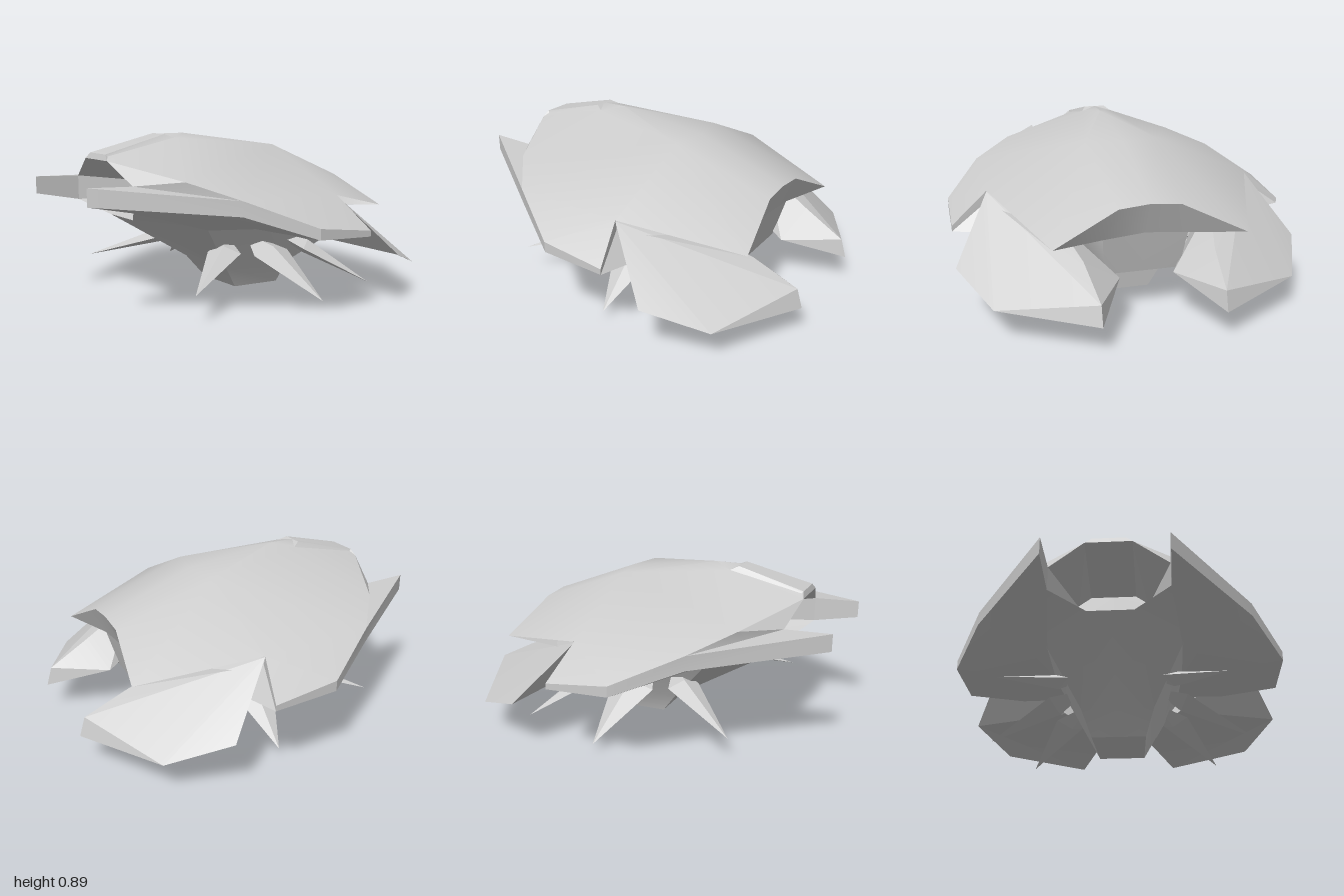
import * as THREE from 'three';
import { toCreasedNormals } from 'three/addons/utils/BufferGeometryUtils.js';

const material = new THREE.MeshStandardMaterial({ color: 0xcccccc, side: THREE.DoubleSide });

// Builds faces from named corners on the +x half, turns them away from a centre
// point and mirrors them to -x. Each face is a string of corner names.
function mirroredMesh(name, points, faces, centre, crease = 0.45, inward = false) {
  const positions = [];
  const mid = new THREE.Vector3(...centre);
  for (const face of faces) {
    const corners = face.split(' ').map((key) => new THREE.Vector3(...points[key]));
    for (let i = 1; i < corners.length - 1; i++) {
      const tri = [corners[0], corners[i], corners[i + 1]];
      const normal = tri[1].clone().sub(tri[0]).cross(tri[2].clone().sub(tri[0]));
      const out = tri[0].clone().add(tri[1]).add(tri[2]).divideScalar(3).sub(mid);
      if ((normal.dot(out) < 0) !== inward) tri.reverse();
      tri.forEach((v) => positions.push(v.x, v.y, v.z));
      [...tri].reverse().forEach((v) => positions.push(-v.x, v.y, v.z));
    }
  }
  const flat = new THREE.BufferGeometry();
  flat.setAttribute('position', new THREE.Float32BufferAttribute(positions, 3));
  const mesh = new THREE.Mesh(toCreasedNormals(flat, crease), material);
  mesh.name = name;
  return mesh;
}

// Corners shared by the shell, its rim and the hull
const shell = {
  crown: [0, 0.89, 0.27], hood: [0.085, 0.87, 0.38], nose: [0.09, 0.79, 0.77],
  lip: [0.12, 0.77, 0.79], lipMid: [0, 0.77, 0.79],
  brow: [0.52, 0.69, 0.59], cheek: [0.73, 0.61, 0.41],
  side: [0.92, 0.475, 0.1], sideBack: [0.92, 0.43, -0.24], notch: [0.73, 0.59, -0.19],
  tail: [0.49, 0.46, -0.78], rear: [0.16, 0.615, -0.73], rearMid: [0, 0.63, -0.73],
  ridge: [0.2, 0.82, -0.2], ridgeMid: [0, 0.82, -0.24],
  // raised strip on the nose
  stripTop: [0.06, 0.89, 0.42], stripTopMid: [0, 0.89, 0.42],
  stripEnd: [0.085, 0.8, 0.78], stripEndMid: [0, 0.8, 0.78],
  // prong and lower rim
  prongTop: [0.305, 0.67, 0.99], prongLow: [0.305, 0.58, 0.99],
  jawTop: [0.305, 0.66, 0.75], jawLow: [0.305, 0.53, 0.75],
  cheekLow: [0.73, 0.535, 0.41], sideLow: [0.92, 0.42, 0.1], sideBackLow: [0.92, 0.4, -0.24],
  notchLow: [0.72, 0.54, -0.19], belly: [0.52, 0.48, 0.4],
  // hull
  chin: [0.12, 0.46, 0.65], chinMid: [0, 0.46, 0.65],
  hullFront: [0.36, 0.41, 0.35], hullSide: [0.36, 0.38, 0], hullBack: [0.33, 0.38, -0.4],
  hullTail: [0.22, 0.44, -0.66], hullTailMid: [0, 0.46, -0.66],
  waistFront: [0.2, 0.15, 0.12], waistFrontMid: [0, 0.14, 0.13],
  waistBack: [0.2, 0.13, -0.32], waistBackMid: [0, 0.13, -0.32],
  rump: [0.2, 0.23, -0.6], rumpMid: [0, 0.23, -0.6],
  keelFront: [0.15, 0.02, 0.02], keelFrontMid: [0, 0.02, 0.02],
  keelBack: [0.13, 0, -0.3], keelBackMid: [0, 0, -0.3],
  // recessed mouth
  inTop: [0.12, 0.67, 0.42], inTopMid: [0, 0.67, 0.42],
  inUp: [0.19, 0.62, 0.42], inDown: [0.19, 0.53, 0.42],
  inLow: [0.12, 0.49, 0.42], inLowMid: [0, 0.49, 0.42],
};

// Diamond-section spike: thin root, broad middle, sharp tip
function leg(name, root, mid, tip, width, thickness) {
  const m = new THREE.Vector3(...mid);
  const along = new THREE.Vector3(...tip).sub(new THREE.Vector3(...root)).normalize();
  const across = new THREE.Vector3(0, 1, 0).cross(along).normalize();
  const up = along.clone().cross(across);
  const at = (dir, d) => m.clone().addScaledVector(dir, d).toArray();
  const points = {
    root, tip, a: at(across, width), b: at(up, thickness), c: at(across, -width), d: at(up, -thickness),
  };
  const faces = ['a b', 'b c', 'c d', 'd a'].flatMap((edge) => [`root ${edge}`, `tip ${edge}`]);
  return mirroredMesh(name, points, faces, mid, 0.1);
}

export function createModel() {
  const model = new THREE.Group();
  model.name = 'craft';

  // Domed upper shell
  model.add(mirroredMesh('upperShell', shell, [
    'crown ridgeMid ridge', 'crown ridge hood', 'hood ridge brow', 'hood brow lip nose',
    'ridge cheek brow', 'ridge notch cheek', 'notch side cheek', 'notch sideBack side',
    'ridge tail notch', 'ridge rear tail', 'ridge ridgeMid rearMid rear',
  ], [0, 0.1, 0], 0.5));

  // Raised strip running down the nose
  model.add(mirroredMesh('noseStrip', shell, [
    'stripTopMid stripTop stripEnd stripEndMid', 'stripTop hood nose stripEnd',
    'stripTopMid stripTop hood crown', 'stripEndMid stripEnd lip lipMid', 'stripEnd nose lip',
  ], [0, 0.6, 0.5]));

  // Forward prongs and the side rim
  model.add(mirroredMesh('prongsAndRim', shell, [
    'lip brow jawTop', 'jawTop brow cheek prongTop', 'prongTop cheek cheekLow prongLow',
    'jawTop prongTop prongLow jawLow', 'cheek side sideLow cheekLow',
    'side sideBack sideBackLow sideLow', 'sideBack notch notchLow sideBackLow',
  ], [0.4, 0.59, 0.2]));

  // Underside of the shell, drawn in to the hull
  model.add(mirroredMesh('shellUnderside', shell, [
    'prongLow cheekLow belly jawLow', 'cheekLow sideLow belly', 'jawLow belly hullFront',
    'belly sideLow hullSide hullFront', 'sideLow sideBackLow hullSide',
    'sideBackLow notchLow hullBack hullSide', 'notchLow tail hullTail hullBack',
    'tail rear hullTail', 'rear rearMid hullTailMid hullTail',
  ], [0.3, 0.8, 0], 0.35));

  // Hull tapering down to the keel
  model.add(mirroredMesh('hull', shell, [
    'chinMid chin waistFront waistFrontMid', 'chin jawLow hullFront waistFront',
    'hullFront hullSide waistFront', 'hullSide waistBack waistFront', 'hullSide hullBack waistBack',
    'hullBack rump waistBack', 'hullBack hullTail rump', 'hullTail hullTailMid rumpMid rump',
    'waistBack rump rumpMid waistBackMid', 'waistFrontMid waistFront keelFront keelFrontMid',
    'waistFront waistBack keelBack keelFront', 'waistBack waistBackMid keelBackMid keelBack',
    'keelFront keelBack keelBackMid keelFrontMid',
  ], [0, 0.3, -0.1], 0.5));

  // Octagonal mouth with a recessed back wall
  model.add(mirroredMesh('mouth', shell, [
    'lipMid lip inTop inTopMid', 'lip jawTop inUp inTop', 'jawTop jawLow inDown inUp',
    'jawLow chin inLow inDown', 'chin chinMid inLowMid inLow',
    'inTopMid inTop inUp inDown inLow inLowMid',
  ], [0, 0.58, 0.6], 0.3, true));

  // Swept rear fins
  model.add(mirroredMesh('rearFins', {
    hinge: [0.73, 0.585, -0.19], outer: [0.92, 0.28, -0.45], corner: [0.77, 0.175, -0.75],
    tip: [0.305, 0.25, -0.97], tipLow: [0.305, 0.15, -1], crest: [0.335, 0.37, -0.74],
    inner: [0.14, 0.24, -0.68], root: [0.35, 0.31, -0.35], top: [0.42, 0.5, -0.45],
  }, [
    'hinge outer corner', 'hinge corner tip', 'hinge tip crest top', 'corner tipLow tip',
    'tip tipLow inner crest', 'outer root inner tipLow corner', 'hinge outer root',
    'top crest inner root', 'hinge top root',
  ], [0.5, 0.31, -0.6], 0.2));

  // Three pairs of pointed legs
  model.add(
    leg('frontLegs', [0.18, 0.33, 0.1], [0.32, 0.27, 0.22], [0.57, 0.15, 0.57], 0.09, 0.04),
    leg('middleLegs', [0.18, 0.33, -0.03], [0.37, 0.245, -0.06], [0.74, 0.05, -0.1], 0.13, 0.04),
    leg('backLegs', [0.18, 0.32, -0.22], [0.32, 0.24, -0.35], [0.57, 0.04, -0.61], 0.1, 0.04),
  );
  return model;
}
